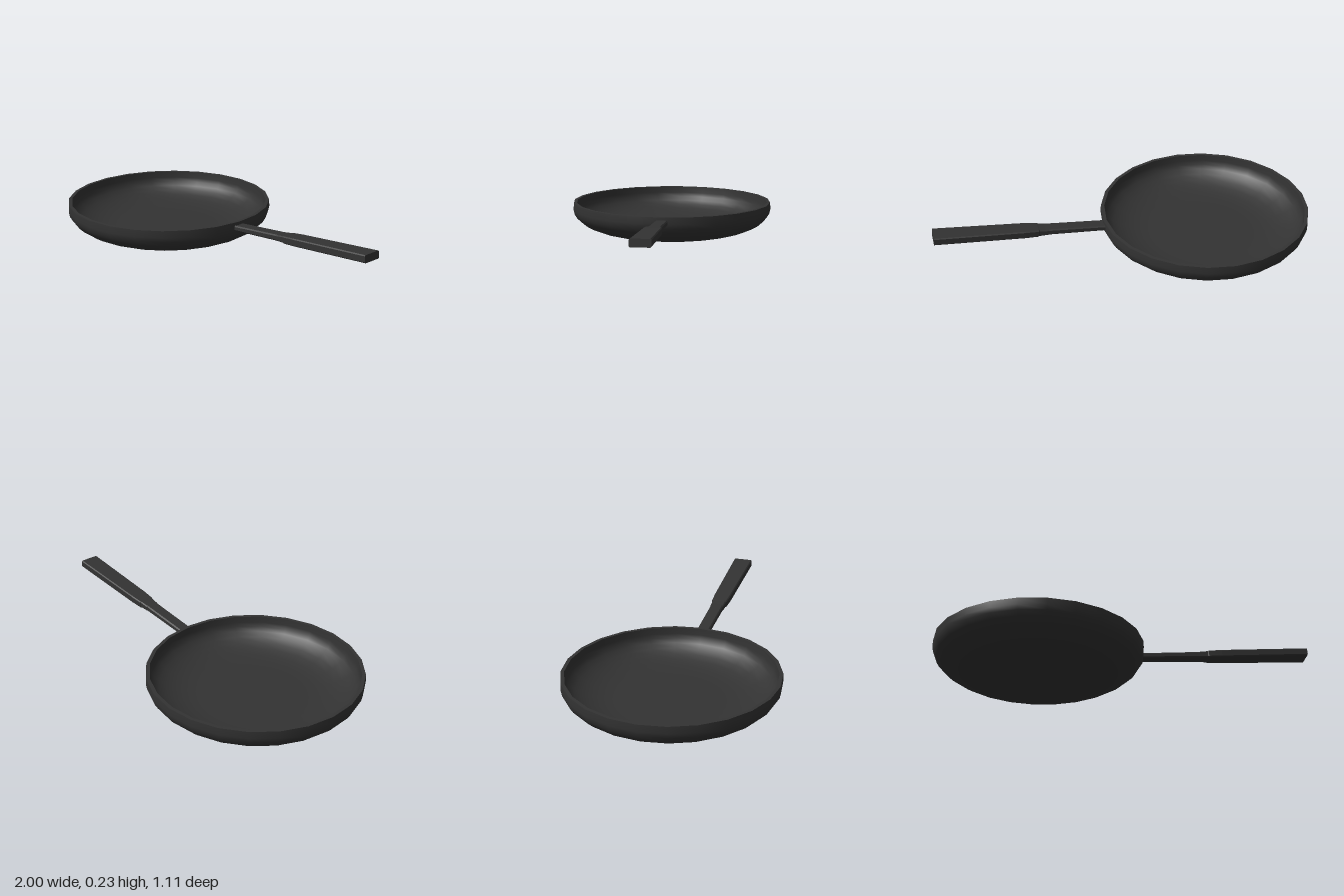
import * as THREE from 'three';

const SIDES = 24;

// Straight bar along +x from chamfered rectangular sections: [x, halfHeight, halfWidth]
function bar(sections, chamfer) {
  const rings = sections.map(([x, h, w]) => {
    const c = Math.min(chamfer, h * 0.6);
    return [
      [h, -w + c], [h, w - c], [h - c, w], [-h + c, w],
      [-h, w - c], [-h, -w + c], [-h + c, -w], [h - c, -w],
    ].map(([y, z]) => [x, y, z]);
  });
  const pos = [];
  const tri = (...corners) => corners.forEach((p) => pos.push(...p));
  for (let s = 0; s < rings.length - 1; s++) {
    for (let i = 0; i < 8; i++) {
      const j = (i + 1) % 8;
      const [a, b, c, d] = [rings[s][i], rings[s][j], rings[s + 1][j], rings[s + 1][i]];
      tri(a, b, c);
      tri(a, c, d);
    }
  }
  // End caps
  const first = rings[0], last = rings[rings.length - 1];
  for (let i = 1; i < 7; i++) {
    tri(last[0], last[i], last[i + 1]);
    tri(first[0], first[i + 1], first[i]);
  }
  const g = new THREE.BufferGeometry();
  g.setAttribute('position', new THREE.Float32BufferAttribute(pos, 3));
  g.computeVertexNormals();
  return g;
}

export function createModel() {
  const model = new THREE.Group();
  model.name = 'fryingPan';

  const iron = new THREE.MeshStandardMaterial({ color: 0x333333 });
  iron.name = 'dark iron';

  const add = (parent, name, geometry) => {
    const mesh = new THREE.Mesh(geometry, iron);
    mesh.name = name;
    parent.add(mesh);
  };

  // Bowl: separate lathes keep the rim edges sharp
  const bowl = new THREE.Group();
  bowl.name = 'bowl';
  bowl.position.x = -0.445;
  model.add(bowl);
  const lathe = (points) =>
    new THREE.LatheGeometry(points.map(([r, y]) => new THREE.Vector2(r, y)), SIDES);

  // Quarter-ellipse wall from the flat floor out to the side
  const wall = (r0, r1, y0, y1) => {
    const points = [];
    for (let i = 0; i <= 8; i++) {
      const a = (i / 8) * Math.PI / 2;
      points.push([r0 + (r1 - r0) * Math.sin(a), y1 - (y1 - y0) * Math.cos(a)]);
    }
    return points;
  };
  add(bowl, 'outerShell', lathe([[0, 0], [0.15, 0], ...wall(0.28, 0.555, 0, 0.135), [0.553, 0.172]]));
  add(bowl, 'rim', lathe([[0.553, 0.172], [0.535, 0.172]]));
  add(bowl, 'innerSurface', lathe([[0.535, 0.172], ...wall(0.27, 0.533, 0.02, 0.137).reverse(), [0.15, 0.02], [0, 0.02]]));

  // Handle: slim stem and wider grip, rising away from the bowl
  const handle = new THREE.Group();
  handle.name = 'handle';
  handle.position.set(0.09, 0.14, 0);
  handle.rotation.z = 0.079;
  model.add(handle);
  add(handle, 'stem', bar([[0, 0.014, 0.033], [0.32, 0.016, 0.034], [0.45, 0.016, 0.036]], 0.006));
  add(handle, 'grip', bar([[0.315, 0.015, 0.036], [0.365, 0.018, 0.038], [0.37, 0.019, 0.042], [0.44, 0.02, 0.046], [0.91, 0.02, 0.052]], 0.005));

  return model;
}
